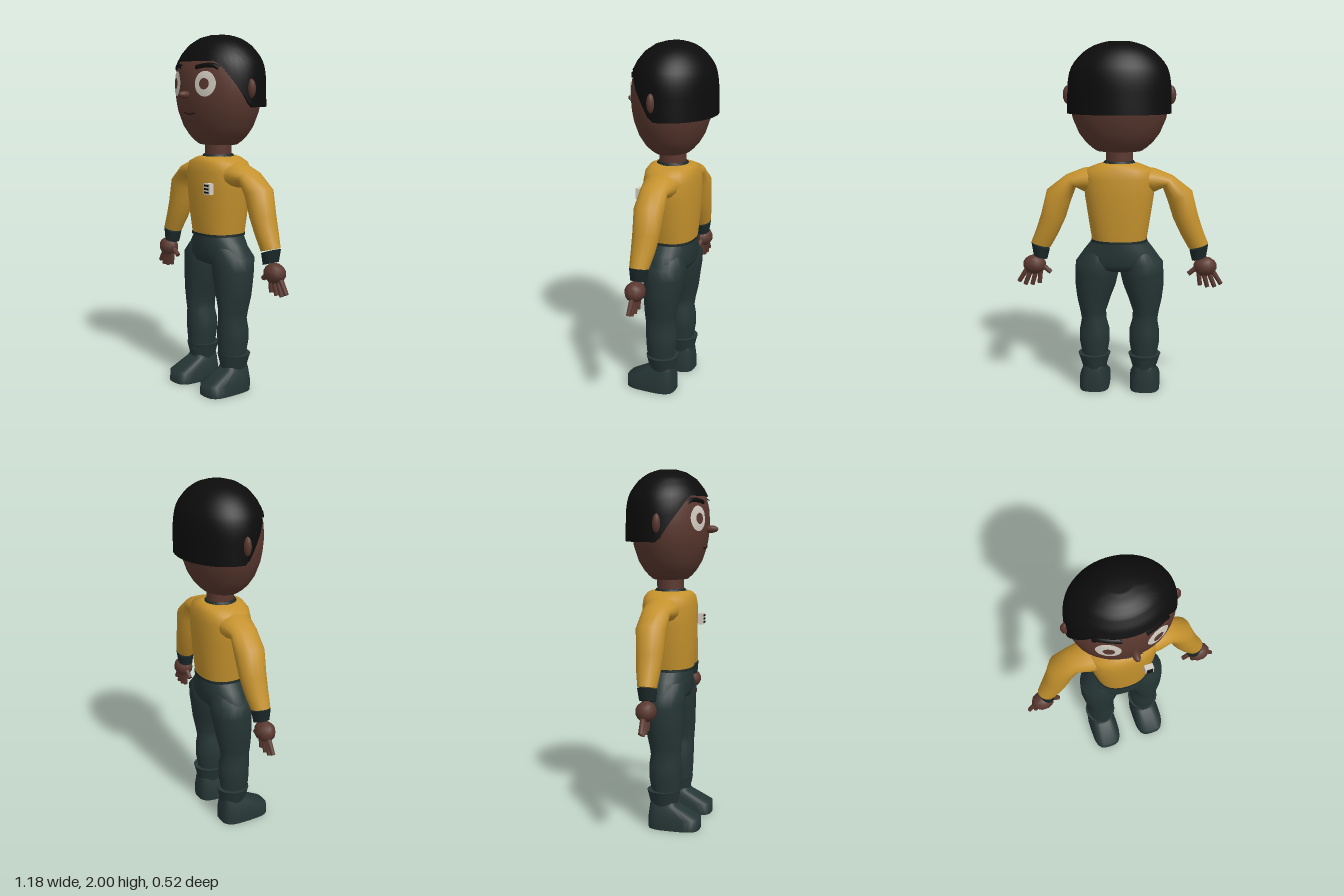
import * as THREE from 'three';

const paint = (name, color) => Object.assign(new THREE.MeshStandardMaterial({ color }), { name });

// Linear lookup in a table of [y, value], sorted from high y to low y
function lookup(table, y) {
  if (y >= table[0][0]) return table[0][1];
  for (let i = 1; i < table.length; i++) {
    const [y0, v0] = table[i - 1], [y1, v1] = table[i];
    if (y >= y1) return v1 + (v0 - v1) * (y - y1) / (y0 - y1);
  }
  return table[table.length - 1][1];
}

// Skin a list of closed rings that share one point count
function skin(rings) {
  const n = rings[0].length, pos = rings.flat(2), index = [];
  for (let i = 0; i < rings.length - 1; i++) {
    for (let j = 0; j < n; j++) {
      const a = i * n + j, b = i * n + (j + 1) % n;
      index.push(a, b, a + n, b, b + n, a + n);
    }
  }
  const g = new THREE.BufferGeometry();
  g.setAttribute('position', new THREE.Float32BufferAttribute(pos, 3));
  g.setIndex(index);
  g.computeVertexNormals();
  return g;
}

// Rows of [outerX, outerY, innerX, innerY, centreZ, halfDepth]; power < 1 makes the rings boxier
function loft(rows, n = 20, power = 1) {
  const bend = (v) => Math.sign(v) * Math.abs(v) ** power;
  const rings = rows.map(([ox, oy, ix, iy, cz, rz]) => Array.from({ length: n }, (_, j) => {
    const a = j / n * Math.PI * 2, c = bend(Math.cos(a)), s = bend(Math.sin(a));
    return [(ox + ix) / 2 + c * (ox - ix) / 2, (oy + iy) / 2 + c * (oy - iy) / 2, cz + s * rz];
  }));
  const centre = ([ox, oy, ix, iy, cz]) => Array.from({ length: n }, () => [(ox + ix) / 2, (oy + iy) / 2, cz]);
  const last = rows.length - 1;
  return skin([centre(rows[0]), rings[0], ...rings, rings[last], centre(rows[last])]);
}

// Centred rows [y, halfWidth, halfDepth]
const body = (rows, cz, n, power) => loft(rows.map(([y, w, d]) => [w, y, -w, y, cz, d]), n, power);
// Upright rows [y, outerX, innerX, backZ, frontZ]
const limb = (rows, n, power) => loft(rows.map(([y, o, i, b, f]) => [o, y, i, y, (b + f) / 2, (f - b) / 2]), n, power);

// Head half-widths, and the depth of the face at a point
const HEAD = [[1.93, 0.19], [1.85, 0.255], [1.78, 0.275], [1.7, 0.279], [1.64, 0.273], [1.58, 0.26],
  [1.5, 0.226], [1.45, 0.188], [1.42, 0.155], [1.4, 0.125]];
const HEAD_Z = -0.012, HEAD_DEPTH = 0.77;
function faceZ(x, y) {
  const w = lookup(HEAD, y);
  return HEAD_Z + HEAD_DEPTH * Math.sqrt(Math.max(0, w * w - x * x));
}

// Thin disc laid on the face
function faceDisc(x, y, rx, ry, lift) {
  const g = new THREE.RingGeometry(0.0001, 1, 28, 4).scale(rx, ry, 1).translate(x, y, 0);
  const p = g.attributes.position;
  for (let i = 0; i < p.count; i++) p.setZ(i, faceZ(p.getX(i), p.getY(i)) + lift);
  g.computeVertexNormals();
  return g;
}

// Rounded line laid on the face through [x, y] points
function faceLine(points, radius) {
  const curve = new THREE.CatmullRomCurve3(points.map(([x, y]) => new THREE.Vector3(x, y, faceZ(x, y))));
  return new THREE.TubeGeometry(curve, 16, radius, 6);
}

// Cap of hair: each column runs from the crown to a hem that rises towards the forehead
function hairCap() {
  const widths = [[2, 0.06], [1.985, 0.125], [1.95, 0.19], [1.9, 0.24], [1.85, 0.272], [1.78, 0.286], [1.61, 0.29]];
  const n = 48, steps = 14, cz = -0.025;
  const hem = (a) => Math.min(1.855, 1.61 + 1.5 * Math.max(0, cz + 0.235 * Math.sin(a) + 0.01));
  const ring = (t, k) => Array.from({ length: n }, (_, j) => {
    const a = j / n * Math.PI * 2, y = 2 + (hem(a) - 2) * t ** 1.5, w = lookup(widths, y) * k;
    return [w * Math.cos(a), y, cz + w * 0.81 * Math.sin(a)];
  });
  const rings = [ring(0, 0)];
  for (let i = 0; i <= steps; i++) rings.push(ring(i / steps, 1));
  rings.push(ring(1, 1), ring(1, 0.8));
  return skin(rings);
}

// Tapered finger between two points in the plane of the hand
function finger(x0, y0, x1, y1, r) {
  const len = Math.hypot(x1 - x0, y1 - y0);
  return new THREE.CylinderGeometry(r * 0.85, r, len, 7)
    .rotateZ(Math.atan2(y1 - y0, x1 - x0) - Math.PI / 2)
    .translate((x0 + x1) / 2, (y0 + y1) / 2, -0.012);
}

function mirrored(geo) {
  const g = geo.clone().scale(-1, 1, 1), idx = g.index.array;
  for (let i = 0; i < idx.length; i += 3) [idx[i], idx[i + 1]] = [idx[i + 1], idx[i]];
  g.computeVertexNormals();
  return g;
}

export function createModel() {
  const model = new THREE.Group();
  model.name = 'figure';
  const skinTone = paint('brown skin', 0x5a382f);
  const shirt = paint('mustard shirt', 0xc5922d);
  const cloth = paint('dark teal cloth', 0x263535);
  const trim = paint('deep teal trim', 0x1b2829);
  const black = paint('black', 0x0c0c0c);
  const white = paint('off white', 0xd2cdc2);
  const lip = paint('dark lip', 0x2c1714);

  const add = (name, geo, mat) => {
    const m = new THREE.Mesh(geo, mat);
    m.name = name;
    model.add(m);
  };
  const pair = (name, geo, mat) => {
    add('left ' + name, geo, mat);
    add('right ' + name, mirrored(geo), mat);
  };

  // Head
  add('head', body(HEAD.map(([y, w]) => [y, w, w * HEAD_DEPTH]), HEAD_Z, 40), skinTone);
  add('hair', hairCap(), black);
  add('nose', new THREE.SphereGeometry(1, 12, 8).scale(0.021, 0.021, 0.042).translate(0, 1.676, 0.218), skinTone);
  add('mouth', faceLine([[-0.05, 1.579], [0, 1.571], [0.05, 1.579]], 0.005), lip);
  pair('ear', new THREE.SphereGeometry(1, 10, 8).scale(0.028, 0.052, 0.022).translate(0.287, 1.71, -0.012), skinTone);
  pair('eye', faceDisc(0.127, 1.735, 0.06, 0.068, 0.004), white);
  pair('iris', faceDisc(0.127, 1.735, 0.028, 0.03, 0.008), skinTone);
  pair('eyebrow', faceLine([[0.06, 1.822], [0.12, 1.832], [0.165, 1.83], [0.19, 1.816]], 0.013), black);

  // Neck and torso
  add('neck', new THREE.CylinderGeometry(0.076, 0.076, 0.12, 20).translate(0, 1.37, -0.013), skinTone);
  add('collar', body([[1.345, 0.082, 0.082], [1.335, 0.09, 0.09], [1.32, 0.092, 0.092]], -0.013), trim);
  add('torso', body([[1.334, 0.085, 0.105], [1.325, 0.12, 0.125], [1.3, 0.185, 0.14], [1.25, 0.203, 0.148],
    [1.15, 0.195, 0.15], [1, 0.172, 0.142], [0.895, 0.155, 0.132]], -0.015, 28, 0.85), shirt);
  add('waistband', body([[0.902, 0.158, 0.135], [0.888, 0.16, 0.136]], -0.015, 28, 0.85), trim);

  // Striped badge on the chest
  add('badge', new THREE.BoxGeometry(0.05, 0.062, 0.03).translate(0.11, 1.165, 0.14), white);
  for (const y of [1.184, 1.165, 1.146]) {
    add('badge stripe', new THREE.BoxGeometry(0.036, 0.009, 0.006).translate(0.11, y, 0.156), black);
  }

  // Arms
  pair('sleeve', loft([[0.1, 1.315, 0.12, 1.16, -0.015, 0.1], [0.2, 1.304, 0.2, 1.17, -0.015, 0.095],
    [0.3, 1.265, 0.245, 1.195, -0.02, 0.08], [0.41, 1.18, 0.275, 1.115, -0.025, 0.084],
    [0.445, 1.04, 0.305, 1.02, -0.023, 0.075], [0.475, 0.95, 0.35, 0.925, -0.02, 0.065],
    [0.505, 0.875, 0.395, 0.845, -0.015, 0.052]], 16), shirt);
  pair('cuff', loft([[0.506, 0.872, 0.4, 0.835, -0.015, 0.053], [0.495, 0.8, 0.415, 0.775, -0.012, 0.045]], 14), trim);
  pair('hand', new THREE.SphereGeometry(1, 10, 7).scale(0.068, 0.056, 0.056).translate(0.49, 0.74, -0.01), skinTone);
  [[0.455, 0.715, 0.462, 0.63], [0.48, 0.71, 0.505, 0.62], [0.51, 0.71, 0.546, 0.621], [0.53, 0.72, 0.582, 0.638]]
    .forEach((f, i) => pair('finger ' + (i + 1), finger(...f, 0.015), skinTone));
  pair('thumb', finger(0.455, 0.745, 0.395, 0.695, 0.016), skinTone);

  // Trousers
  add('hips', body([[0.895, 0.154, 0.13], [0.84, 0.198, 0.131], [0.77, 0.248, 0.127], [0.735, 0.235, 0.11],
    [0.72, 0.18, 0.08]], -0.017, 28), cloth);
  pair('trouser leg', limb([[0.83, 0.19, 0.03, -0.12, 0.09], [0.77, 0.25, 0.002, -0.14, 0.105],
    [0.7, 0.253, 0.006, -0.135, 0.102], [0.63, 0.254, 0.022, -0.122, 0.098], [0.55, 0.245, 0.052, -0.11, 0.095],
    [0.47, 0.228, 0.078, -0.092, 0.09], [0.42, 0.22, 0.075, -0.086, 0.087], [0.36, 0.23, 0.058, -0.096, 0.087],
    [0.29, 0.232, 0.058, -0.095, 0.084], [0.18, 0.213, 0.075, -0.078, 0.078]], 20), cloth);

  // Boots
  pair('boot cuff', limb([[0.216, 0.24, 0.052, -0.107, 0.082], [0.19, 0.23, 0.062, -0.1, 0.077],
    [0.125, 0.21, 0.08, -0.085, 0.065]], 20), cloth);
  pair('boot foot', limb([[0.15, 0.205, 0.085, -0.082, 0.06], [0.13, 0.212, 0.08, -0.088, 0.075],
    [0.065, 0.235, 0.06, -0.095, 0.198], [0, 0.235, 0.06, -0.095, 0.2]], 24, 0.6), cloth);

  return model;
}
